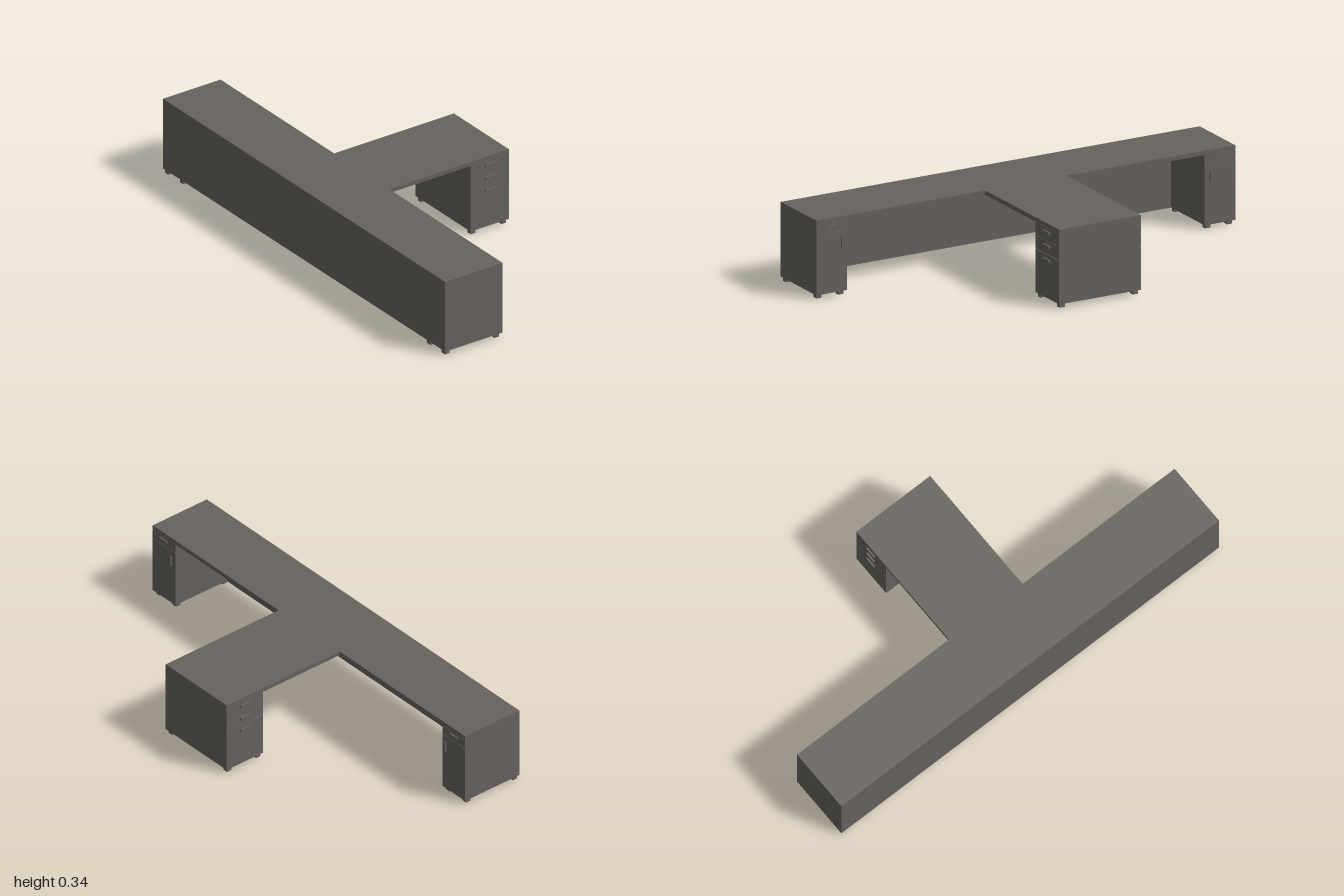
import * as THREE from 'three';

// Double-sided because the cabinets are open underneath
const grey = new THREE.MeshStandardMaterial({ color: 0x66625e, side: THREE.DoubleSide });
grey.name = 'warmGrey';

const TOP = 0.342, UNDER = 0.323, BASE = 0.018;
const FRONT = -0.158, INNER = 0.854;

function add(parent, name, geometry, x = 0, y = 0, z = 0) {
  const mesh = new THREE.Mesh(geometry, grey);
  mesh.name = name;
  mesh.position.set(x, y, z);
  parent.add(mesh);
  return mesh;
}

// Box given by its two corners
function block(parent, name, x0, x1, y0, y1, z0, z1) {
  return add(parent, name, new THREE.BoxGeometry(x1 - x0, y1 - y0, z1 - z0),
    (x0 + x1) / 2, (y0 + y1) / 2, (z0 + z1) / 2);
}

// Cabinet body without a floor
function carcass(parent, name, x0, x1, z0, z1) {
  const g = block(parent, name, x0, x1, BASE, UNDER, z0, z1).geometry;
  const keep = Array.from(g.index.array);
  keep.splice(18, 6);
  g.setIndex(keep);
  g.clearGroups();
}

function feet(parent, xs, zs) {
  for (const x of xs) for (const z of zs)
    add(parent, 'foot', new THREE.BoxGeometry(0.024, BASE, 0.024), x, BASE / 2, z);
}

export function createModel() {
  const model = new THREE.Group();
  model.name = 'desk';

  // T-shaped worktop
  const outline = new THREE.Shape([
    [-0.45, -1], [FRONT, -1], [FRONT, -0.195], [0.45, -0.195],
    [0.45, 0.195], [FRONT, 0.195], [FRONT, 1], [-0.45, 1],
  ].map(([x, z]) => new THREE.Vector2(x, z)));
  const slab = new THREE.ExtrudeGeometry(outline, { depth: TOP - UNDER, bevelEnabled: false });
  slab.rotateX(Math.PI / 2);
  add(model, 'worktop', slab, 0, TOP, 0);

  // Long back board with an inner facing
  block(model, 'backBoard', -0.45, -0.447, BASE, UNDER, -0.999, 0.999);
  const facing = new THREE.PlaneGeometry(2 * INNER, UNDER - BASE);
  facing.rotateY(Math.PI / 2);
  add(model, 'innerFacing', facing, -0.433, (UNDER + BASE) / 2, 0);

  // Pedestal with three drawers on each long side
  const pedestal = new THREE.Group();
  pedestal.name = 'drawerPedestal';
  carcass(pedestal, 'pedestalBody', 0.255, 0.45, -0.191, 0.191);
  feet(pedestal, [0.273, 0.429], [-0.175, 0.175]);
  for (const turn of [0, Math.PI]) {
    const bank = new THREE.Group();
    bank.name = 'drawerBank';
    bank.position.x = 0.3525;
    bank.rotation.y = turn;
    for (const [y0, y1, pullY] of [[BASE, 0.206, 0.184], [0.209, 0.2645, 0.244], [0.266, 0.322, 0.303]]) {
      block(bank, 'drawerFront', -0.0975, 0.0975, y0, y1, 0.191, 0.195);
      block(bank, 'drawerPull', -0.025, 0.025, pullY - 0.006, pullY + 0.006, 0.195, 0.203);
    }
    pedestal.add(bank);
  }
  model.add(pedestal);

  // End cabinets: a drawer above a door, mirrored front to back
  for (const side of [1, -1]) {
    const cabinet = new THREE.Group();
    cabinet.name = side > 0 ? 'frontCabinet' : 'backCabinet';
    const zs = (a, b) => [Math.min(a * side, b * side), Math.max(a * side, b * side)];
    carcass(cabinet, 'cabinetBody', -0.45, FRONT - 0.004, ...zs(INNER, 1));
    block(cabinet, 'door', FRONT - 0.004, FRONT, BASE, 0.2775, ...zs(INNER, 1));
    block(cabinet, 'drawerFront', FRONT - 0.004, FRONT, 0.2795, 0.322, ...zs(INNER, 1));
    block(cabinet, 'doorHandle', FRONT, FRONT + 0.009, 0.205, 0.252, ...zs(0.876, 0.882));
    block(cabinet, 'drawerPull', FRONT, FRONT + 0.007, 0.301, 0.312, ...zs(0.905, 0.955));
    feet(cabinet, [-0.433, -0.182], [0.98 * side, 0.876 * side]);
    model.add(cabinet);
  }
  return model;
}
